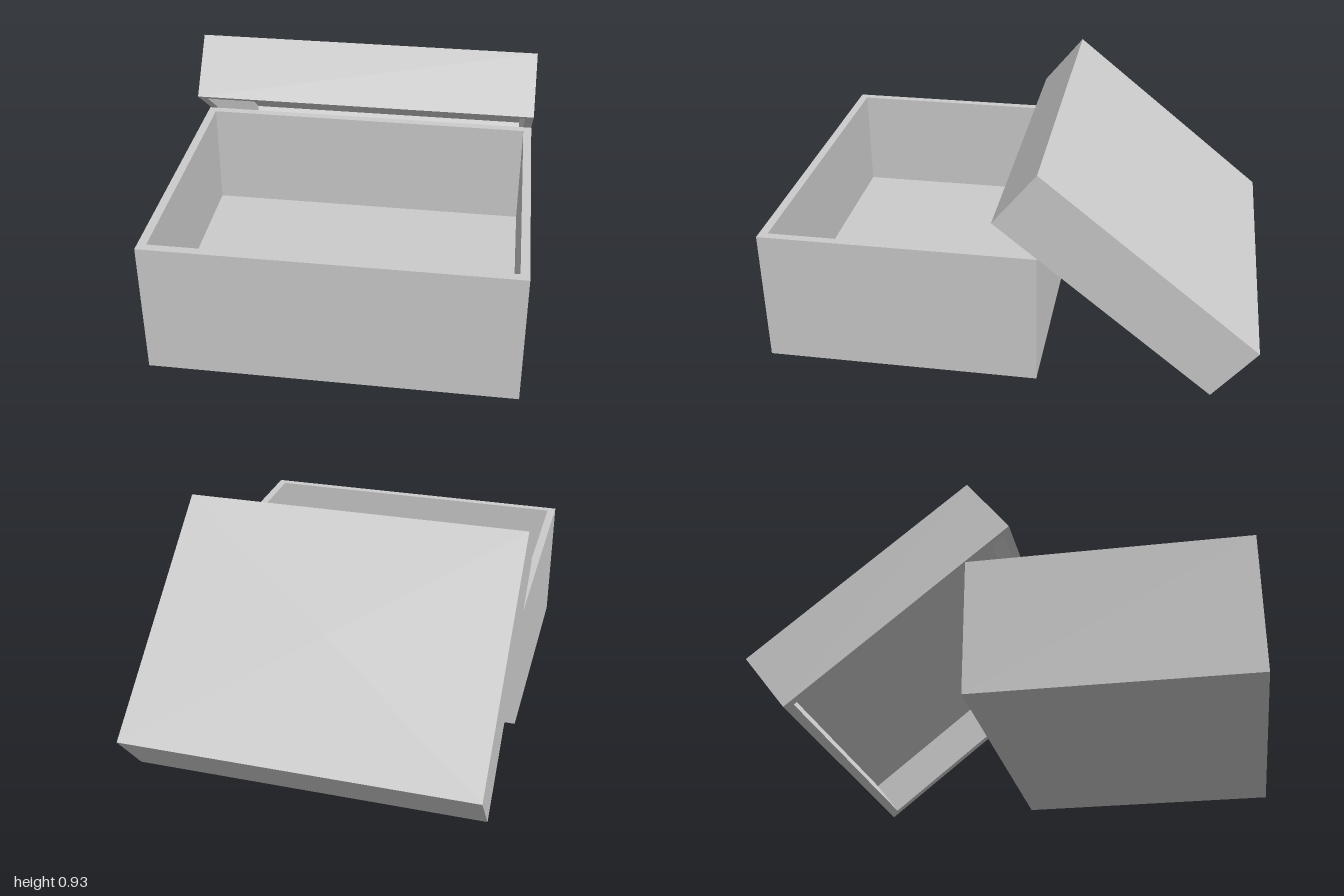
import * as THREE from 'three';

const WIDTH = 1.46, DEPTH = 1.125, WALL = 0.035;

// Open-topped tray: one closed skin lofted through rectangular rings,
// from the underside, up the outside, over the rim and down to the inner floor.
function trayGeometry(height, floor) {
  const x = WIDTH / 2, z = DEPTH / 2;
  const rings = [
    [0, 0, 0], [x, z, 0], [x, z, height],
    [x - WALL, z - WALL, height], [x - WALL, z - WALL, floor], [0, 0, floor],
  ];
  const corners = [[1, 1], [1, -1], [-1, -1], [-1, 1]];
  const point = (r, c) => [rings[r][0] * corners[c % 4][0], rings[r][2], rings[r][1] * corners[c % 4][1]];
  const positions = [];
  for (let r = 0; r < rings.length - 1; r++) {
    for (let c = 0; c < 4; c++) {
      const a = point(r, c), b = point(r, c + 1), d = point(r + 1, c + 1), e = point(r + 1, c);
      if (r > 0) positions.push(...a, ...b, ...d);
      else positions.push(...a, ...d, ...e);
      if (r > 0 && r < rings.length - 2) positions.push(...a, ...d, ...e);
    }
  }
  const geometry = new THREE.BufferGeometry();
  geometry.setAttribute('position', new THREE.Float32BufferAttribute(positions, 3));
  geometry.computeVertexNormals();
  return geometry;
}

export function createModel() {
  const group = new THREE.Group();
  group.name = 'openBox';
  const material = new THREE.MeshStandardMaterial({ color: 0xcccccc, flatShading: true });

  // Box body, standing on the ground
  const body = new THREE.Mesh(trayGeometry(0.565, 0.11), material);
  body.name = 'boxBody';
  body.position.z = 1 - DEPTH / 2;
  group.add(body);

  // Lid, upside-down tray leaning against the back edge of the body
  const lid = new THREE.Mesh(trayGeometry(0.279, 0.105), material);
  lid.name = 'lid';
  lid.position.set(0, 0.573, -0.563);
  lid.rotation.x = Math.PI - 0.682;
  group.add(lid);

  return group;
}
